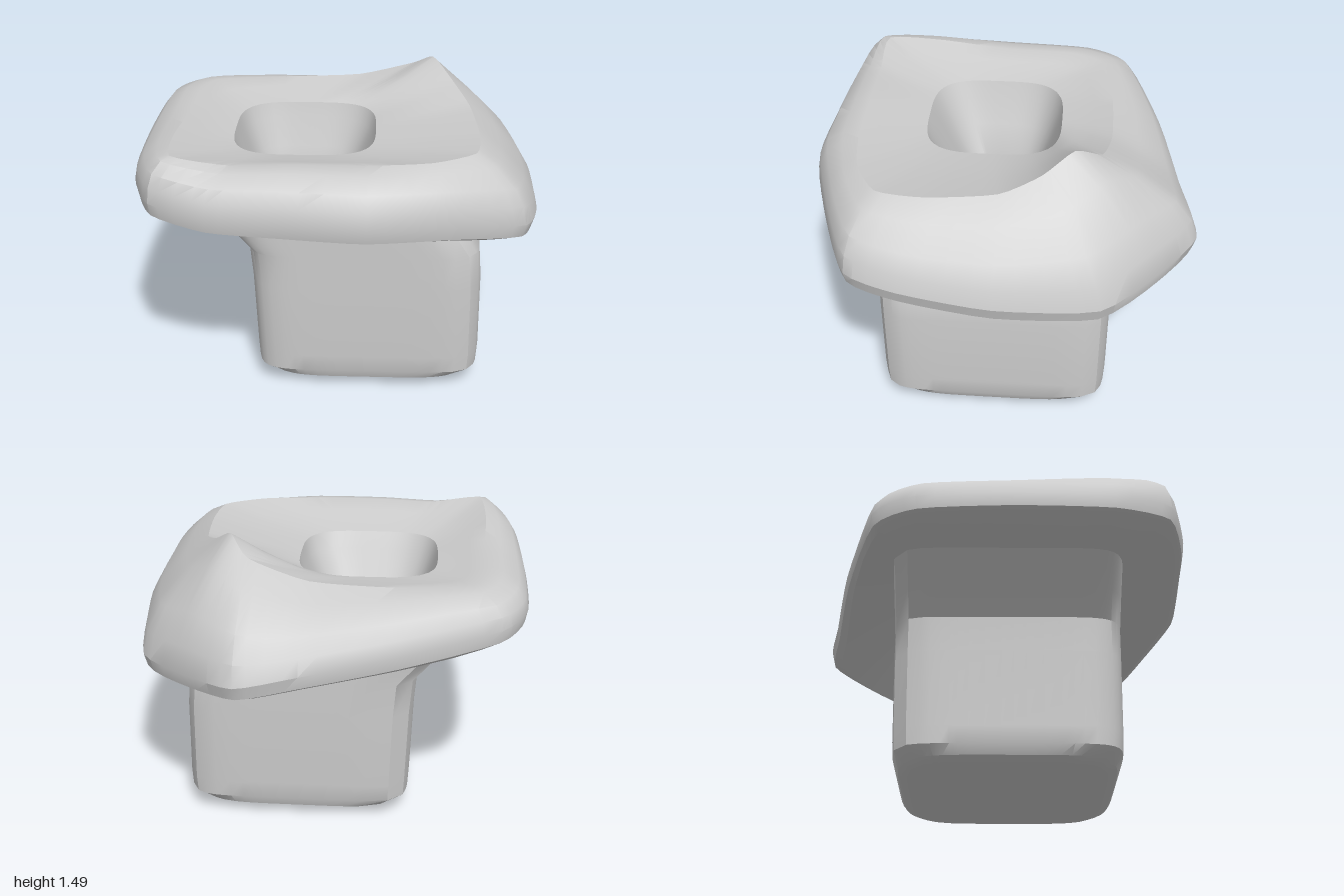
import * as THREE from 'three';
import { toCreasedNormals } from 'three/addons/utils/BufferGeometryUtils.js';

const N = 68; // points round every ring
const { lerp, clamp } = THREE.MathUtils;

// Closed curve through [x, z, y] points, sampled so that matching indices line up
function ringFrom(points) {
  const curve = new THREE.CatmullRomCurve3(
    points.map(p => new THREE.Vector3(p[0], p[2], p[1])), true, 'catmullrom', 0.3);
  return Array.from({ length: N }, (_, i) => curve.getPoint(i / N));
}

// Brim: outermost edge and upper crest
const edge = ringFrom([
  [1, 0, 0.93], [0.98, 0.45, 0.99], [0.9, 0.71, 1.03], [0.57, 0.85, 1.08],
  [0.15, 0.97, 1.11], [-0.25, 0.95, 1.12], [-0.6, 0.92, 1.13], [-0.87, 0.83, 1.17],
  [-0.98, 0.55, 1.17], [-1, 0.05, 1.17], [-0.98, -0.42, 1.16], [-0.85, -0.64, 1.14],
  [-0.36, -0.81, 1.06], [0.1, -0.91, 0.99], [0.4, -0.97, 0.95], [0.66, -0.78, 0.92],
  [0.92, -0.5, 0.89],
]);
const crest = ringFrom([
  [0.66, 0, 1.35], [0.69, 0.34, 1.335], [0.66, 0.58, 1.34], [0.45, 0.7, 1.34],
  [0.15, 0.74, 1.34], [-0.22, 0.74, 1.34], [-0.5, 0.74, 1.33], [-0.77, 0.73, 1.37],
  [-0.8, 0.42, 1.35], [-0.78, 0.05, 1.32], [-0.78, -0.3, 1.31], [-0.7, -0.47, 1.3],
  [-0.33, -0.53, 1.3], [0.08, -0.53, 1.32], [0.38, -0.48, 1.41], [0.48, -0.35, 1.49],
  [0.58, -0.2, 1.41],
]);

// Rounded-square ring that follows the angles of the brim edge
function squareRing([y, cx, cz, hx, hz], power) {
  return edge.map(p => {
    const a = Math.atan2(p.z, p.x), c = Math.cos(a), s = Math.sin(a);
    const r = Math.pow(Math.abs(c) ** power + Math.abs(s) ** power, -1 / power);
    return new THREE.Vector3(cx + hx * r * c, y, cz + hz * r * s);
  });
}

// Ring between two others, with separate blends across and up
const blend = (a, b, across, up, lift = 0) => a.map((p, i) => new THREE.Vector3(
  lerp(p.x, b[i].x, across), lerp(p.y, b[i].y, up) + lift, lerp(p.z, b[i].z, across)));

// Ring on the outer brim: round where the edge is high, flatter where it droops
const shoulder = (across, up) => edge.map((p, i) => {
  const roundness = 0.5 + 0.5 * clamp((p.y - 0.97) / 0.15, 0, 1);
  const rise = lerp(across, up, roundness);
  return new THREE.Vector3(
    lerp(p.x, crest[i].x, across), lerp(p.y, crest[i].y, rise), lerp(p.z, crest[i].z, across));
});

const pointRing = (x, y, z) => edge.map(() => new THREE.Vector3(x, y, z));

// Skin a list of rings into one mesh
function loft(name, rings) {
  const positions = rings.flat().flatMap(p => [p.x, p.y, p.z]);
  const index = [];
  for (let r = 0; r < rings.length - 1; r++) {
    for (let i = 0; i < N; i++) {
      const j = (i + 1) % N;
      const a = r * N + i, b = r * N + j, c = a + N, d = b + N;
      index.push(a, c, b, b, c, d);
    }
  }
  const geometry = new THREE.BufferGeometry();
  geometry.setAttribute('position', new THREE.Float32BufferAttribute(positions, 3));
  geometry.setIndex(index);
  const mesh = new THREE.Mesh(toCreasedNormals(geometry, 0.5),
    new THREE.MeshStandardMaterial({ color: 0xcccccc, side: THREE.DoubleSide }));
  mesh.name = name;
  return mesh;
}

export function createModel() {
  const group = new THREE.Group();
  group.name = 'brimmedPot';

  // Squarish body that leans to one side at the neck: [y, cx, cz, hx, hz]
  const body = [
    [0.01, 0.16, 0.03, 0.3, 0.3],
    [0.035, 0.16, 0.03, 0.5, 0.51],
    [0.06, 0.155, 0.03, 0.55, 0.56],
    [0.11, 0.155, 0.03, 0.575, 0.58],
    [0.2, 0.155, 0.03, 0.58, 0.585],
    [0.6, 0.145, 0.03, 0.585, 0.59],
    [0.78, 0.13, 0.03, 0.585, 0.59],
    [0.9, 0.04, 0.03, 0.6, 0.59],
    [1.04, -0.09, 0.03, 0.61, 0.59],
  ].map((r, i) => squareRing(r, i < 3 ? 5 : 8));
  const neck = body[body.length - 1];
  group.add(loft('body', [pointRing(0.16, 0, 0.03), ...body]));

  // Opening: steep throat that widens again into a small hollow
  const opening = [
    [1.25, -0.18, 0.08, 0.36, 0.35],
    [1.17, -0.18, 0.07, 0.335, 0.32],
    [1.02, -0.19, 0.06, 0.27, 0.26],
    [0.82, -0.21, 0.04, 0.17, 0.18],
    [0.6, -0.19, 0.05, 0.2, 0.2],
    [0.36, -0.19, 0.05, 0.19, 0.19],
  ].map(r => squareRing(r, 3.5));

  // Drooping brim: underside, rounded edge, crest and inward slope
  group.add(loft('brim', [
    neck,
    blend(neck, edge, 0.84, 1, -0.085),
    blend(neck, edge, 0.96, 1, -0.065),
    edge,
    shoulder(0.07, 0.38),
    shoulder(0.25, 0.7),
    shoulder(0.63, 0.94),
    crest,
    blend(crest, opening[0], 0.35, 0.4),
    blend(crest, opening[0], 0.7, 0.75),
    opening[0],
  ]));
  group.add(loft('opening', [...opening, pointRing(-0.19, 0.32, 0.05)]));
  return group;
}
